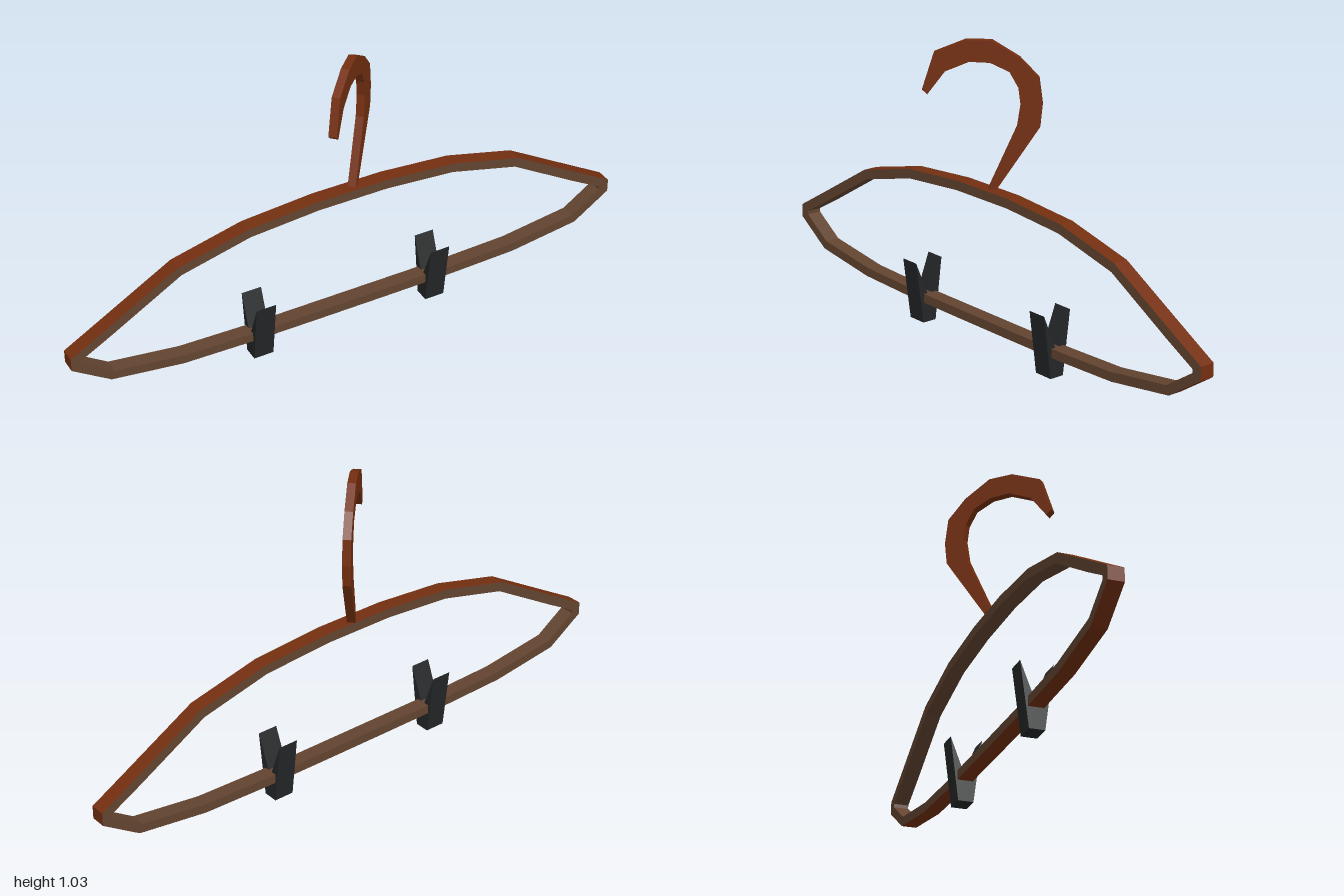
import * as THREE from 'three';

const material = (name, color) => {
  const m = new THREE.MeshStandardMaterial({ color });
  m.name = name;
  return m;
};

// Closed ring from matching outer and inner loops (counter-clockwise from the front)
function ringGeometry(outer, inner, zFront, zBack) {
  const wall = [], rest = [];
  const quad = (list, a, b, c, d) => list.push(...a, ...b, ...c, ...a, ...c, ...d);
  const front = (p) => [p[0], p[1], zFront];
  const back = (p) => [p[0], p[1], zBack];
  outer.forEach((o, i) => {
    const j = (i + 1) % outer.length;
    const p = outer[j], n = inner[i], q = inner[j];
    quad(wall, back(o), back(p), front(p), front(o));
    quad(rest, front(o), front(p), front(q), front(n));
    quad(rest, back(p), back(o), back(n), back(q));
    quad(rest, front(n), front(q), back(q), back(n));
  });
  const g = new THREE.BufferGeometry();
  g.setAttribute('position', new THREE.Float32BufferAttribute([...wall, ...rest], 3));
  g.addGroup(0, wall.length / 3, 0);
  g.addGroup(wall.length / 3, rest.length / 3, 1);
  g.computeVertexNormals();
  return g;
}

// Flat profile extruded about its own middle plane
function slab(points, depth) {
  const shape = new THREE.Shape(points.map(([x, y]) => new THREE.Vector2(x, y)));
  const g = new THREE.ExtrudeGeometry(shape, { depth, bevelEnabled: false });
  return g.translate(0, 0, -depth / 2);
}

export function createModel() {
  const redWood = material('red brown wood', 0x742f10);
  const greyWood = material('grey brown wood', 0x624430);
  const black = material('black plastic', 0x242627);
  const group = new THREE.Group();
  group.name = 'clothesHanger';
  const add = (name, geometry, mat) => {
    const mesh = new THREE.Mesh(geometry, mat);
    mesh.name = name;
    group.add(mesh);
    return mesh;
  };

  // Frame: right half from bottom to top, mirrored for the other half
  const outerHalf = [[0.125, 0.07], [0.377, 0.071], [0.62, 0.078], [0.87, 0.113],
    [1, 0.2], [1, 0.245], [0.873, 0.318], [0.624, 0.462], [0.377, 0.523], [0.125, 0.543]];
  const innerHalf = [[0.125, 0.102], [0.37, 0.102], [0.612, 0.109], [0.858, 0.143],
    [0.965, 0.215], [0.965, 0.228], [0.857, 0.288], [0.612, 0.431], [0.37, 0.491], [0.125, 0.51]];
  const mirror = (half) => [...half, ...half.map(([x, y]) => [-x, y]).reverse()];
  add('frame', ringGeometry(mirror(outerHalf), mirror(innerHalf), 0.012, -0.04), [redWood, greyWood]);

  // Hook: flat curl turned 45 degrees
  const curl = [[-0.018, 0.535], [-0.119, 0.754], [-0.124, 0.828], [-0.116, 0.913],
    [-0.072, 0.978], [-0.01, 1.031], [0.048, 1.031], [0.119, 0.989], [0.146, 0.869],
    [0.134, 0.853], [0.094, 0.929], [0.04, 0.962], [-0.007, 0.96], [-0.05, 0.932],
    [-0.07, 0.882], [-0.075, 0.828], [-0.067, 0.754], [0.001, 0.535]];
  const hook = add('hook', slab(curl.map(([z, y]) => [(0.0095 - z) * Math.SQRT2, y]), 0.027), redWood);
  hook.rotation.y = Math.PI / 4;
  hook.position.x = -0.006;

  // Clips: V-notched jaws straddling the lower bar
  const jaw = [[0.037, 0], [0.064, 0.217], [0.012, 0.08], [-0.044, 0.217], [-0.015, 0]];
  const clipGeometry = slab(jaw, 0.07).rotateY(Math.PI / 2);
  for (const [name, x] of [['leftClip', 0.31], ['rightClip', -0.337]]) {
    add(name, clipGeometry, black).position.x = x;
  }
  return group;
}
